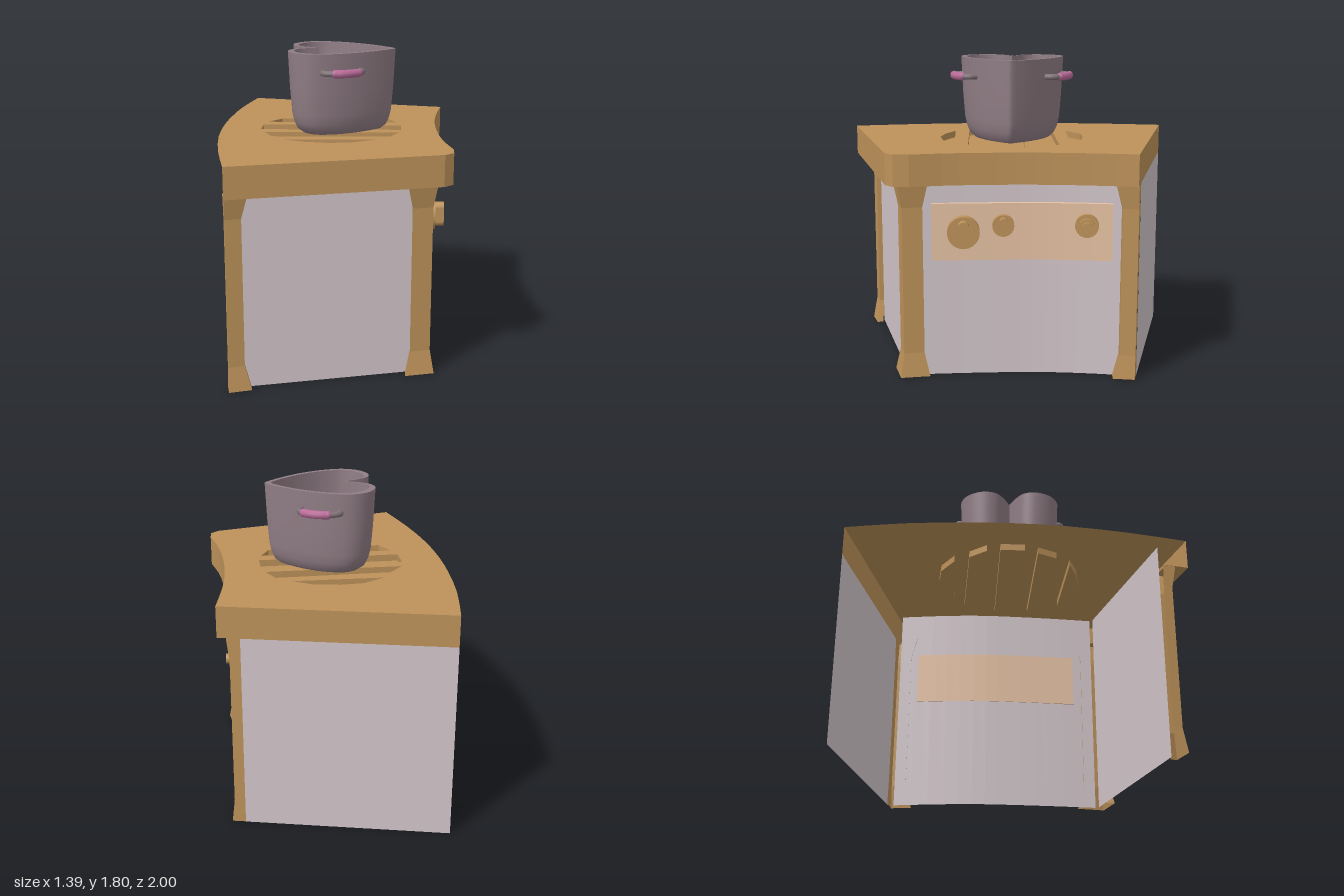
import * as THREE from 'three';

const mat = (name, color) => {
  const m = new THREE.MeshStandardMaterial({ color, side: THREE.DoubleSide });
  m.name = name;
  return m;
};

export function createModel() {
  const wood = mat('wood', 0xbd925a);
  const wallGrey = mat('wallGrey', 0xd2c6ca);
  const panelTan = mat('panelTan', 0xe6c1a3);
  const potGrey = mat('potGrey', 0x907d85);
  const handleGrey = mat('handleGrey', 0x7f7277);
  const pink = mat('handlePink', 0xb86b98);
  const model = new THREE.Group();

  const add = (name, geo, m, parent = model) => {
    const mesh = new THREE.Mesh(geo, m);
    mesh.name = name;
    parent.add(mesh);
    return mesh;
  };

  // Indexed surface through equal-length rows of [x, y, z] points
  const loft = (rows, flat) => {
    const n = rows[0].length, idx = [];
    for (let r = 0; r < rows.length - 1; r++)
      for (let i = 0; i < n - 1; i++) {
        const a = r * n + i, b = a + 1, c = a + n, d = c + 1;
        idx.push(a, b, d, a, d, c);
      }
    let g = new THREE.BufferGeometry();
    g.setAttribute('position', new THREE.Float32BufferAttribute(rows.flat(2), 3));
    g.setIndex(idx);
    if (flat) g = g.toNonIndexed();
    g.computeVertexNormals();
    return g;
  };
  // Vertical strip along a plan path of [x, z] points
  const ribbon = (pts, y0, y1) =>
    loft([y1, y0].map(y => pts.map(([x, z]) => [x, y, z])), true);
  const toShape = pts => new THREE.Shape(pts.map(([x, z]) => new THREE.Vector2(x, -z)));
  const flatPlate = (shape, y) => new THREE.ShapeGeometry(shape).rotateX(-Math.PI / 2).translate(0, y, 0);
  const smooth = (pts, n) => new THREE.CatmullRomCurve3(pts.map(([x, z]) => new THREE.Vector3(x, 0, z)))
    .getPoints(n).map(p => [p.x, p.z]);

  const TOP = 1.32, UNDER = 1.14;

  // Counter outline in plan
  const rightEdge = smooth([[0.65, -0.75], [0.612, -0.45], [0.6, -0.2], [0.61, 0.05], [0.64, 0.3], [0.69, 0.51]], 12);
  const frontEdge = [[0.69, 0.6], [0.64, 0.65], [-0.52, 1]];
  const leftEdge = smooth([[-0.52, 1], [-0.605, 0.65], [-0.67, 0.27], [-0.693, -0.05], [-0.693, -0.3], [-0.672, -0.65], [-0.62, -1]], 12);
  const rim = [[-0.62, -1], ...rightEdge, ...frontEdge];

  // Burner slots sunk into the counter
  const slots = [
    [[-0.31, -0.37], [-0.18, -0.455], [-0.05, -0.47], [0.1, -0.455], [0.22, -0.385]],
    [[-0.44, -0.175], [-0.36, -0.28], [0.31, -0.32], [0.365, -0.21]],
    [[-0.455, -0.095], [0.39, -0.12], [0.395, 0.01], [-0.45, 0.05]],
    [[-0.42, 0.13], [0.38, 0.095], [0.33, 0.21], [-0.36, 0.245]],
    [[-0.28, 0.33], [-0.15, 0.38], [-0.01, 0.4], [0.135, 0.37], [0.26, 0.29]],
  ];
  const topShape = toShape([...rim, ...leftEdge.slice(1, -1)]);
  for (const s of slots) {
    topShape.holes.push(toShape(s));
    add('burnerSlotFloor', flatPlate(toShape(s), TOP - 0.04), wood);
    add('burnerSlotSides', ribbon([...s, s[0]], TOP - 0.04, TOP), wood);
  }
  add('counterTop', flatPlate(topShape, TOP), wood);
  add('counterRim', ribbon(rim, UNDER, TOP), wood);

  // Walls: the left side stays open
  const sideLine = smooth([[0.533, -0.74], [0.501, -0.45], [0.491, -0.2], [0.501, 0], [0.522, 0.25], [0.553, 0.53]], 14);
  const frontLine = [[0.54, 0.55], [-0.46, 0.84]];
  add('sideWall', ribbon(sideLine, 0, TOP - 0.01), wallGrey);
  add('frontWall', ribbon(frontLine, 0, TOP - 0.01), wallGrey);
  add('backWall', ribbon([[0.525, -0.7746], [-0.62, -1]], 0, UNDER), wallGrey);
  add('counterUnderside', flatPlate(toShape([...rightEdge, ...frontEdge, [-0.55, 0.866],
    ...frontLine.slice().reverse(), ...sideLine.slice().reverse()]), UNDER), wood);

  // Hollow corner posts wrap the walls and flare at foot and head around an anchor
  const post = (name, path, [ax, az], flare) =>
    add(name, loft([[0, flare], [0.14, 1], [1, 1], [UNDER, flare]].map(([y, s]) =>
      path.map(([x, z]) => [ax + (x - ax) * s, y, az + (z - az) * s])), true), wood);
  post('frontRightPost', [[0.47, 0.572], [0.47, 0.605], [0.585, 0.57], [0.562, 0.455], [0.54, 0.46]], [0.5275, 0.53], 1.45);
  post('frontLeftPost', [[-0.55, 0.845], [-0.537, 0.897], [-0.45, 0.866], [-0.455, 0.839]], [-0.545, 0.835], 1.42);
  post('backRightPost', [[0.515, -0.775], [0.585, -0.762], [0.575, -0.67], [0.52, -0.67]], [0.54, -0.77], 1.35);

  // Control panel curved along the side wall
  const strip = smooth([[0.545, -0.62], [0.53, -0.45], [0.52, -0.2], [0.53, 0], [0.55, 0.25], [0.562, 0.405]], 14);
  const panelShape = toShape([...strip, ...strip.slice().reverse().map(([x, z]) => [x - 0.034, z])]);
  add('controlPanel', new THREE.ExtrudeGeometry(panelShape, { depth: 0.33, bevelEnabled: false })
    .rotateX(-Math.PI / 2).translate(0, 0.69, 0), panelTan);

  // Knobs point out of the panel along +x; each part is a round-ended slab
  const knob = (name, x, y, z, turn, parts) => {
    const g = new THREE.Group();
    g.name = name;
    g.position.set(x, y, z);
    g.rotation.y = turn;
    model.add(g);
    for (const [label, from, to, h, r] of parts) {
      const s = new THREE.Shape();
      s.absarc(0, h - r, r, 0, Math.PI);
      s.absarc(0, r - h, r, Math.PI, Math.PI * 2);
      add(label, new THREE.ExtrudeGeometry(s, { depth: to - from, bevelEnabled: false, curveSegments: 12 })
        .rotateY(Math.PI / 2).translate(from, 0, 0), wood, g);
    }
  };
  knob('largeKnob', 0.545, 0.86, 0.225, 0.07, [['base', -0.01, 0.055, 0.092, 0.092], ['grip', 0.05, 0.11, 0.073, 0.032]]);
  knob('smallKnob', 0.53, 0.895, 0, 0.06, [['base', -0.01, 0.035, 0.062, 0.062], ['grip', 0.03, 0.072, 0.05, 0.022]]);
  knob('roundKnob', 0.53, 0.895, -0.475, -0.06, [['base', -0.01, 0.028, 0.067, 0.067],
    ['middle', 0.02, 0.052, 0.045, 0.045], ['cap', 0.045, 0.076, 0.029, 0.029]]);

  // Heart-shaped pot: half outline from notch to rounded tip, mirrored into a loop
  const pot = new THREE.Group();
  pot.name = 'pot';
  model.add(pot);
  const cx = 0.03, cz = -0.035;
  const half = smooth([[-0.12, 0], [-0.2, 0.04], [-0.255, 0.085], [-0.274, 0.15], [-0.255, 0.22], [-0.205, 0.28],
    [-0.125, 0.31], [-0.02, 0.293], [0.08, 0.25], [0.18, 0.185], [0.27, 0.105], [0.325, 0.045], [0.347, 0.016], [0.353, 0]], 44);
  const heart = [...half, ...half.slice(0, -1).reverse().map(([x, z]) => [x, -z])];
  const shells = {
    potBase: [[0, 1.322], [0.74, 1.322]],
    potOutside: [[0.74, 1.322], [0.83, 1.345], [0.89, 1.385], [0.93, 1.44], [0.965, 1.58], [1, 1.805]],
    potRim: [[1, 1.805], [0.89, 1.805]],
    potInside: [[0.89, 1.805], [0.87, 1.62], [0.845, 1.45], [0.8, 1.39], [0.72, 1.36]],
    potFloor: [[0.72, 1.36], [0, 1.36]],
  };
  for (const [name, profile] of Object.entries(shells))
    add(name, loft(profile.map(([s, y]) => heart.map(([x, z]) =>
      [cx + (x - cx) * s, y, cz + z * s]))), potGrey, pot);

  // Handles: two grey arms and a pink grip on each side
  const arms = [
    ['handleArmBack', [[-0.05, 0.288], [-0.058, 0.315], [-0.04, 0.337], [0.01, 0.347]], 0.017, handleGrey],
    ['handleGrip', [[0.018, 0.345], [0.06, 0.34], [0.11, 0.318], [0.147, 0.288]], 0.024, pink],
    ['handleArmFront', [[0.145, 0.29], [0.163, 0.265], [0.167, 0.235], [0.153, 0.203]], 0.017, handleGrey],
  ];
  for (const side of [1, -1])
    for (const [name, pts, r, m] of arms) {
      const path = pts.map(([x, z]) => new THREE.Vector3(x, 1.7, cz + side * z));
      add(name, new THREE.TubeGeometry(new THREE.CatmullRomCurve3(path), 10, r, 10), m, pot);
      if (m === pink)
        for (const end of [path[0], path[path.length - 1]])
          add('gripEnd', new THREE.SphereGeometry(r, 10, 8).translate(end.x, end.y, end.z), pink, pot);
    }

  return model;
}
